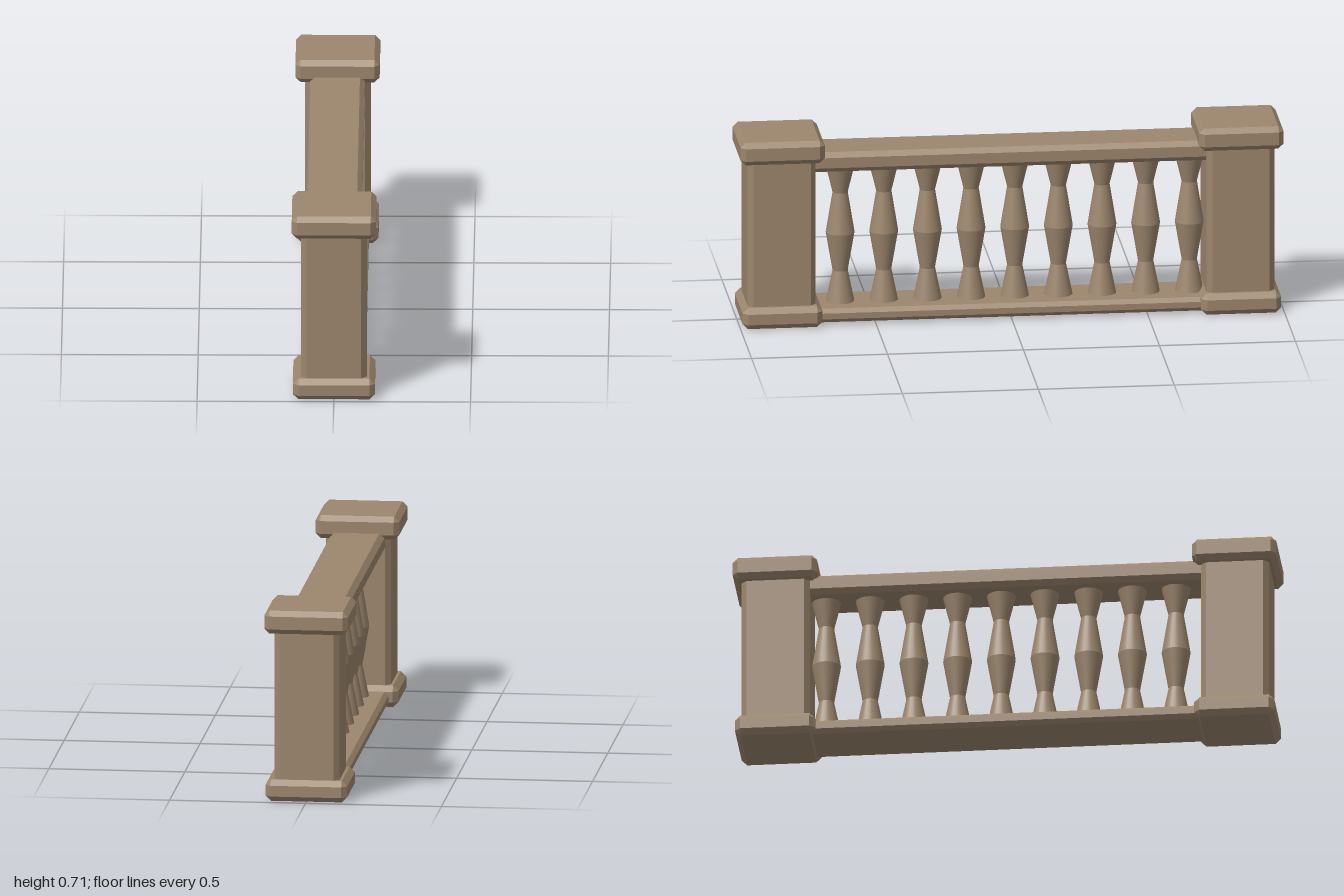
import * as THREE from 'three';
import { ConvexGeometry } from 'three/addons/geometries/ConvexGeometry.js';

// Box with every edge cut at 45 degrees
function chamferBox(w, h, d, c) {
  const points = [];
  for (const sx of [-1, 1]) for (const sy of [-1, 1]) for (const sz of [-1, 1]) {
    const x = w / 2, y = h / 2, z = d / 2;
    points.push(
      new THREE.Vector3(sx * x, sy * (y - c), sz * (z - c)),
      new THREE.Vector3(sx * (x - c), sy * y, sz * (z - c)),
      new THREE.Vector3(sx * (x - c), sy * (y - c), sz * z),
    );
  }
  return new ConvexGeometry(points);
}

export function createModel() {
  const model = new THREE.Group();
  model.name = 'balustrade';
  const stone = new THREE.MeshStandardMaterial({ color: 0x9c866d });
  stone.name = 'brown stone';

  // Block spanning y0..y1, centred on x = 0
  const block = (parent, name, w, y0, y1, d, c, z = 0) => {
    const mesh = new THREE.Mesh(chamferBox(w, y1 - y0, d, c), stone);
    mesh.name = name;
    mesh.position.set(0, (y0 + y1) / 2, z);
    parent.add(mesh);
  };

  // End posts
  for (const [name, z] of [['frontPost', 0.846], ['backPost', -0.841]]) {
    const post = new THREE.Group();
    post.name = name;
    post.position.z = z;
    block(post, 'postBase', 0.3, 0, 0.08, 0.294, 0.02);
    block(post, 'postShaft', 0.24, 0.03, 0.65, 0.25, 0.02);
    block(post, 'postCap', 0.308, 0.627, 0.713, 0.31, 0.019);
    model.add(post);
  }

  // Rails running between the posts
  block(model, 'bottomRail', 0.23, 0.008, 0.06, 1.52, 0.015);
  block(model, 'topRail', 0.2, 0.577, 0.652, 1.52, 0.018);

  // Balusters: stacked cones, sharp between rings and smooth around
  const rings = [[0.053, 0.055], [0.028, 0.177], [0.053, 0.322], [0.028, 0.475], [0.055, 0.585]];
  const cones = rings.slice(1).map(([rTop, yTop], i) => {
    const [rBottom, yBottom] = rings[i];
    const g = new THREE.CylinderGeometry(rTop, rBottom, yTop - yBottom, 24, 1, true);
    return g.translate(0, (yTop + yBottom) / 2, 0);
  });
  for (let i = 0; i < 9; i++) {
    const baluster = new THREE.Group();
    baluster.name = 'baluster' + (i + 1);
    baluster.position.z = 0.62 - i * 0.1605;
    cones.forEach((g, k) => {
      const mesh = new THREE.Mesh(g, stone);
      mesh.name = 'balusterSection' + (k + 1);
      baluster.add(mesh);
    });
    model.add(baluster);
  }
  return model;
}
